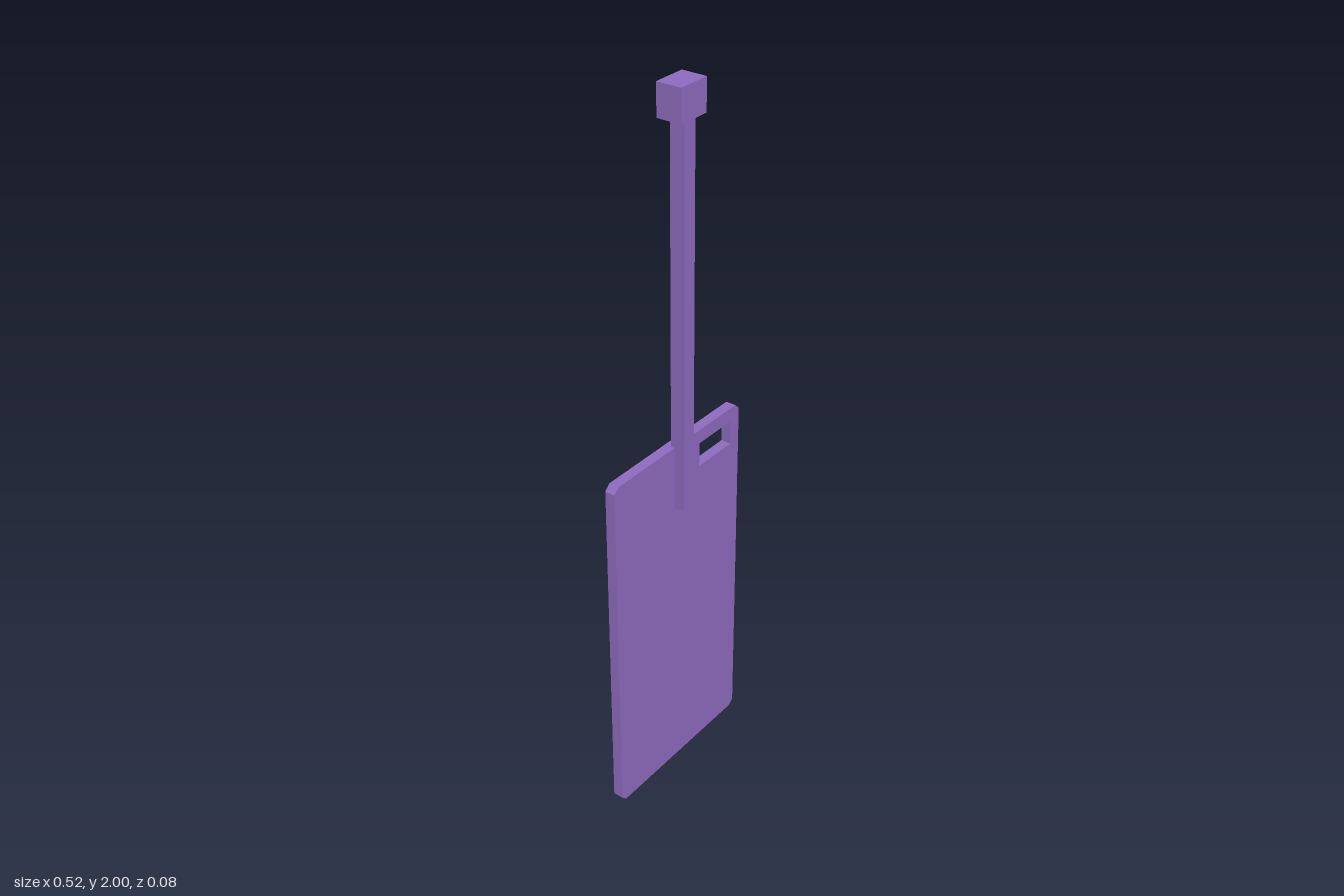
import * as THREE from 'three';

const purple = new THREE.MeshStandardMaterial({ color: 0x8f6cc0 });
const darkPurple = new THREE.MeshStandardMaterial({ color: 0x6f4fa5 });

const points = (list) => list.map(([x, y]) => new THREE.Vector2(x, y));

function box(name, [x0, x1], [y0, y1], [z0, z1]) {
  const mesh = new THREE.Mesh(new THREE.BoxGeometry(x1 - x0, y1 - y0, z1 - z0), purple);
  mesh.position.set((x0 + x1) / 2, (y0 + y1) / 2, (z0 + z1) / 2);
  mesh.name = name;
  return mesh;
}

// Flat plate between two depths
function plate(name, shape, zBack, zFront, material) {
  const geometry = new THREE.ExtrudeGeometry(shape, { depth: zFront - zBack, bevelEnabled: false });
  geometry.translate(0, 0, zBack);
  const mesh = new THREE.Mesh(geometry, material);
  mesh.name = name;
  return mesh;
}

export function createModel() {
  const group = new THREE.Group();
  group.name = 'targetBoard';

  // Board with clipped corners and a rectangular window
  const w = 0.26, h = 1.04, c = 0.016;
  const boardShape = new THREE.Shape(points([
    [-w + c, 0], [w - c, 0], [w, c], [w, h - c],
    [w - c, h], [-w + c, h], [-w, h - c], [-w, c],
  ]));
  boardShape.holes.push(new THREE.Path(points([
    [0.086, 0.93], [0.086, 1.0], [0.224, 1.0], [0.224, 0.93],
  ])));
  group.add(plate('board', boardShape, -0.033, -0.004, purple));

  // Raised head-and-shoulders figure on the back
  const outline = new THREE.SplineCurve(points([
    [0.176, 0.09], [0.174, 0.18], [0.17, 0.264], [0.19, 0.346], [0.216, 0.535],
    [0.206, 0.584], [0.1, 0.625], [0.064, 0.665], [0.058, 0.735], [0.076, 0.795],
    [0.072, 0.86], [0.043, 0.9], [0, 0.917], [-0.05, 0.91], [-0.082, 0.872],
    [-0.09, 0.805], [-0.073, 0.735], [-0.072, 0.68], [-0.104, 0.64], [-0.195, 0.602],
    [-0.229, 0.566], [-0.226, 0.502], [-0.195, 0.361], [-0.189, 0.274],
    [-0.194, 0.178], [-0.188, 0.085],
  ]));
  const figure = new THREE.Shape(outline.getPoints(90));
  group.add(plate('figure', figure, -0.04, -0.032, darkPurple));

  // Square pole and the block on its end
  group.add(box('pole', [-0.02, 0.02], [0.857, 1.92], [-0.015, 0.027]));
  group.add(box('poleCap', [-0.047, 0.047], [1.915, 2.0], [-0.032, 0.038]));

  return group;
}
